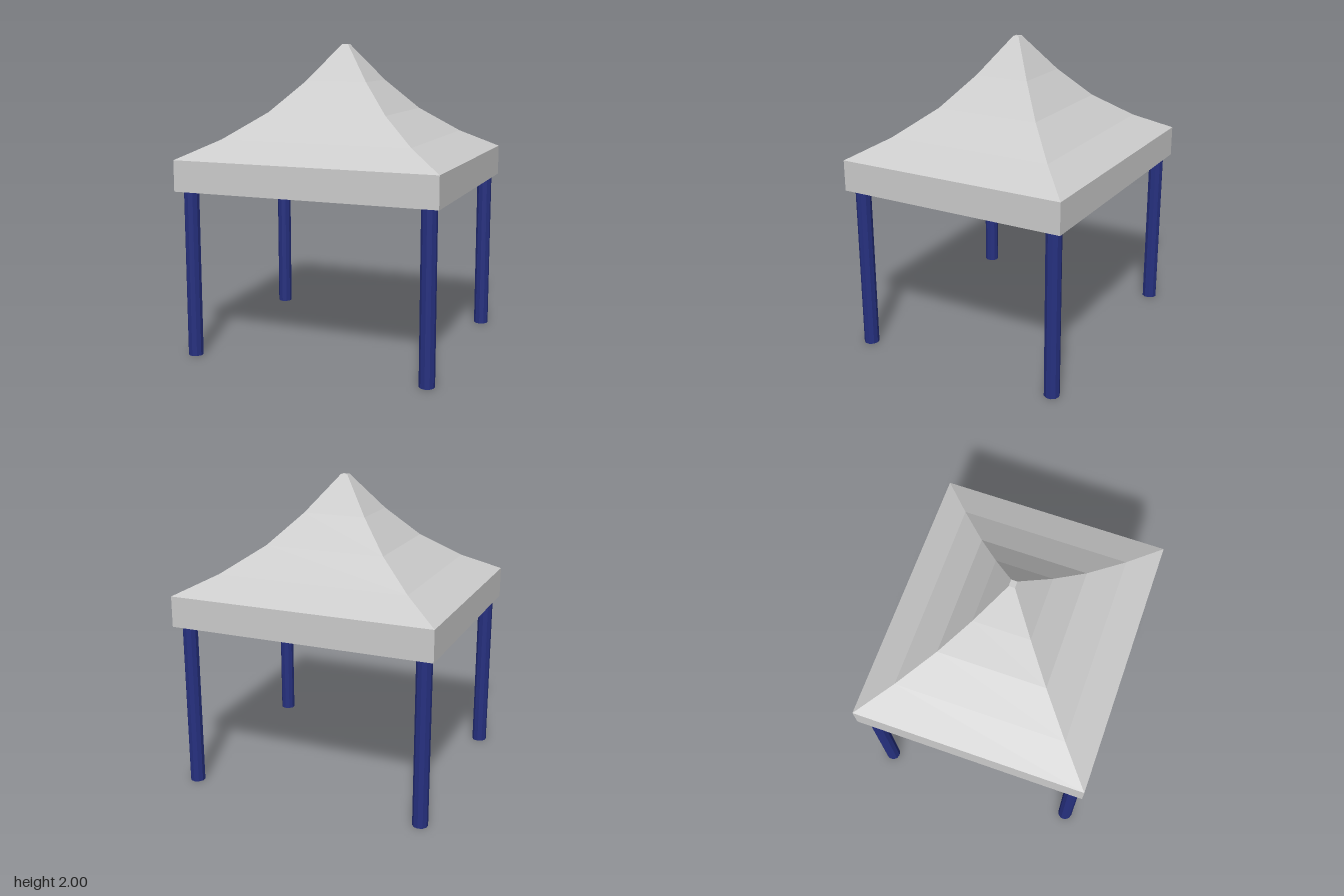
import * as THREE from 'three';

const HALF_X = 0.865, HALF_Z = 0.76;
const EAVE = 1.285, HEM = 1.085, CEILING = 1.265;

const fabric = new THREE.MeshStandardMaterial({ color: 0xcccccc, flatShading: true });
const poleMaterial = new THREE.MeshStandardMaterial({ color: 0x26307f, flatShading: true });

// Four-sided shell from a profile of [fraction of half width, height]
function squareShell(name, profile) {
  const points = profile.map(([s, y]) => new THREE.Vector2(s * Math.SQRT2, y));
  const lathe = new THREE.LatheGeometry(points, 4, Math.PI / 4);
  lathe.scale(HALF_X, 1, HALF_Z);
  const geometry = lathe.toNonIndexed();
  geometry.computeVertexNormals();
  const mesh = new THREE.Mesh(geometry, fabric);
  mesh.name = name;
  return mesh;
}

export function createModel() {
  const group = new THREE.Group();
  group.name = 'canopyTent';

  // Swept peaked roof with a small flat tip
  group.add(squareShell('roof', [
    [1, EAVE], [0.73, 1.405], [0.46, 1.57], [0.24, 1.765], [0.025, 2], [0, 2],
  ]));

  // Straight band hanging below the eaves
  group.add(squareShell('valance', [[1, HEM], [1, EAVE]]));

  // Flat rim, sloping inner walls and recessed ceiling
  group.add(squareShell('underside', [
    [0, CEILING], [0.755, CEILING], [0.84, HEM], [1, HEM],
  ]));

  // Ten-sided corner poles
  const poleGeometry = new THREE.CylinderGeometry(0.049, 0.049, HEM, 10);
  for (const x of [-1, 1]) {
    for (const z of [-1, 1]) {
      const pole = new THREE.Mesh(poleGeometry, poleMaterial);
      pole.name = (z > 0 ? 'front' : 'back') + (x > 0 ? 'Left' : 'Right') + 'Pole';
      pole.position.set(x * 0.786, HEM / 2, z * 0.682);
      group.add(pole);
    }
  }
  return group;
}
